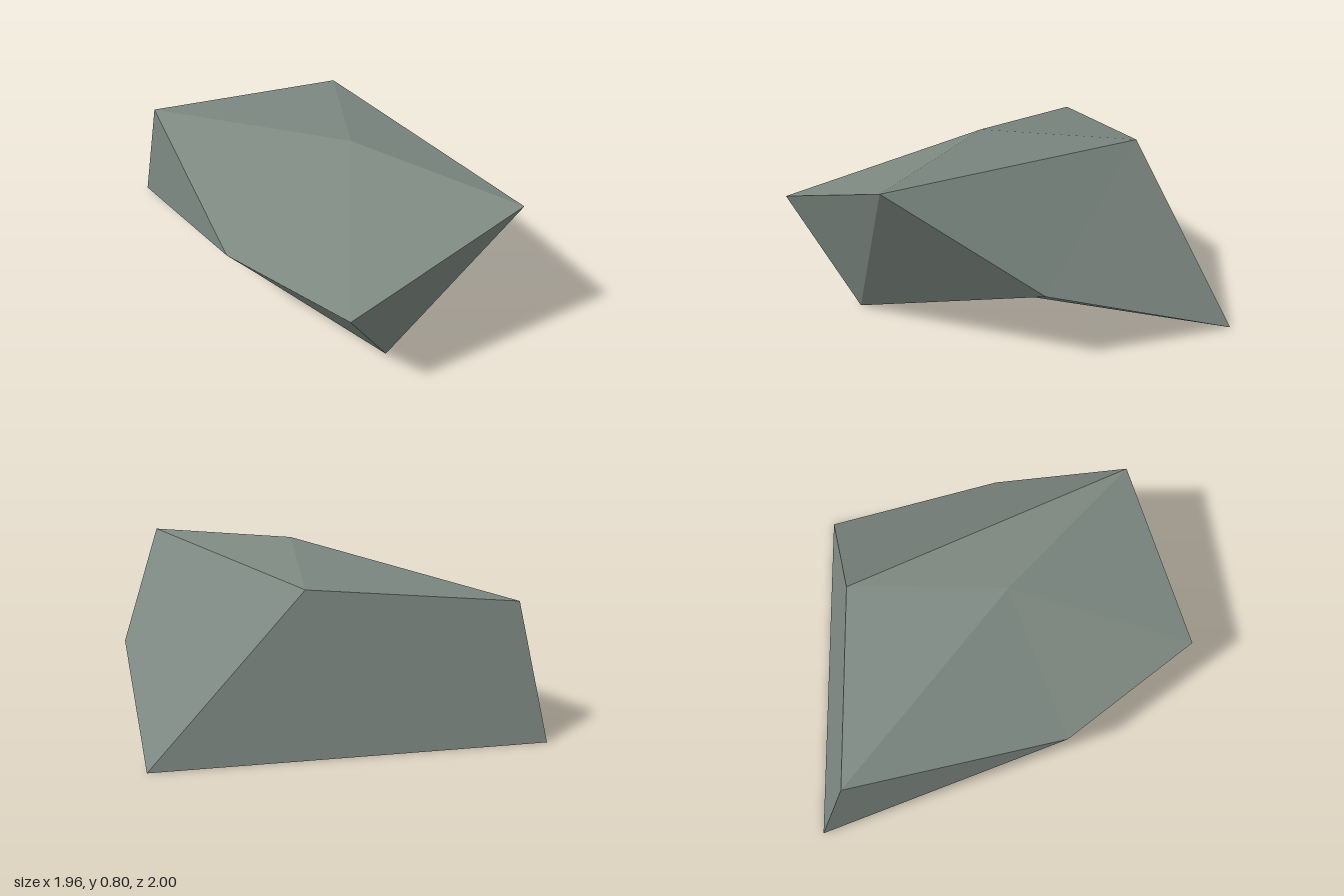
import * as THREE from 'three';

// Corners of the boulder
const corners = {
  // ground
  backRight: [-0.98, 0, -0.67],
  backLeft: [0.74, 0, -1.0],
  frontFoot: [0.34, 0, 0.67],
  hollow: [0.25, 0, 0.04],
  // waist
  side: [0.98, 0.32, -0.11],
  nose: [0.16, 0.5, 1.0],
  cheek: [-0.4, 0.42, 0.47],
  notch: [-0.29, 0.27, 0.4],
  // crown
  rearShoulder: [-0.86, 0.61, -0.52],
  rearCrest: [0.09, 0.7, -0.69],
  frontCrest: [0.91, 0.77, 0.55],
  peak: [0.17, 0.8, 0.08],
};

// Facets, counter-clockwise seen from outside
const facets = [
  // crown, a fan around the peak
  'rearShoulder cheek peak', 'cheek nose peak', 'nose frontCrest peak',
  'frontCrest rearCrest peak', 'rearCrest rearShoulder peak',
  // back and left flanks
  'rearShoulder rearCrest backRight', 'backRight rearCrest backLeft',
  'rearCrest frontCrest side', 'rearCrest side backLeft',
  // front and right flanks
  'frontCrest nose frontFoot', 'frontCrest frontFoot side',
  'cheek rearShoulder backRight', 'cheek backRight notch',
  'nose cheek notch', 'nose notch frontFoot',
  // undercut and base
  'notch backRight hollow', 'notch hollow frontFoot',
  'frontFoot hollow side', 'side hollow backLeft', 'backLeft hollow backRight',
];

export function createModel() {
  const stone = new THREE.MeshStandardMaterial({ color: 0x7c8780, flatShading: true });
  stone.name = 'greyGreenStone';

  const points = facets.flatMap((f) => f.split(' ').flatMap((name) => corners[name]));
  const geometry = new THREE.BufferGeometry();
  geometry.setAttribute('position', new THREE.Float32BufferAttribute(points, 3));
  geometry.computeVertexNormals();

  const rock = new THREE.Mesh(geometry, stone);
  rock.name = 'rock';
  const group = new THREE.Group();
  group.name = 'boulder';
  group.add(rock);
  return group;
}
